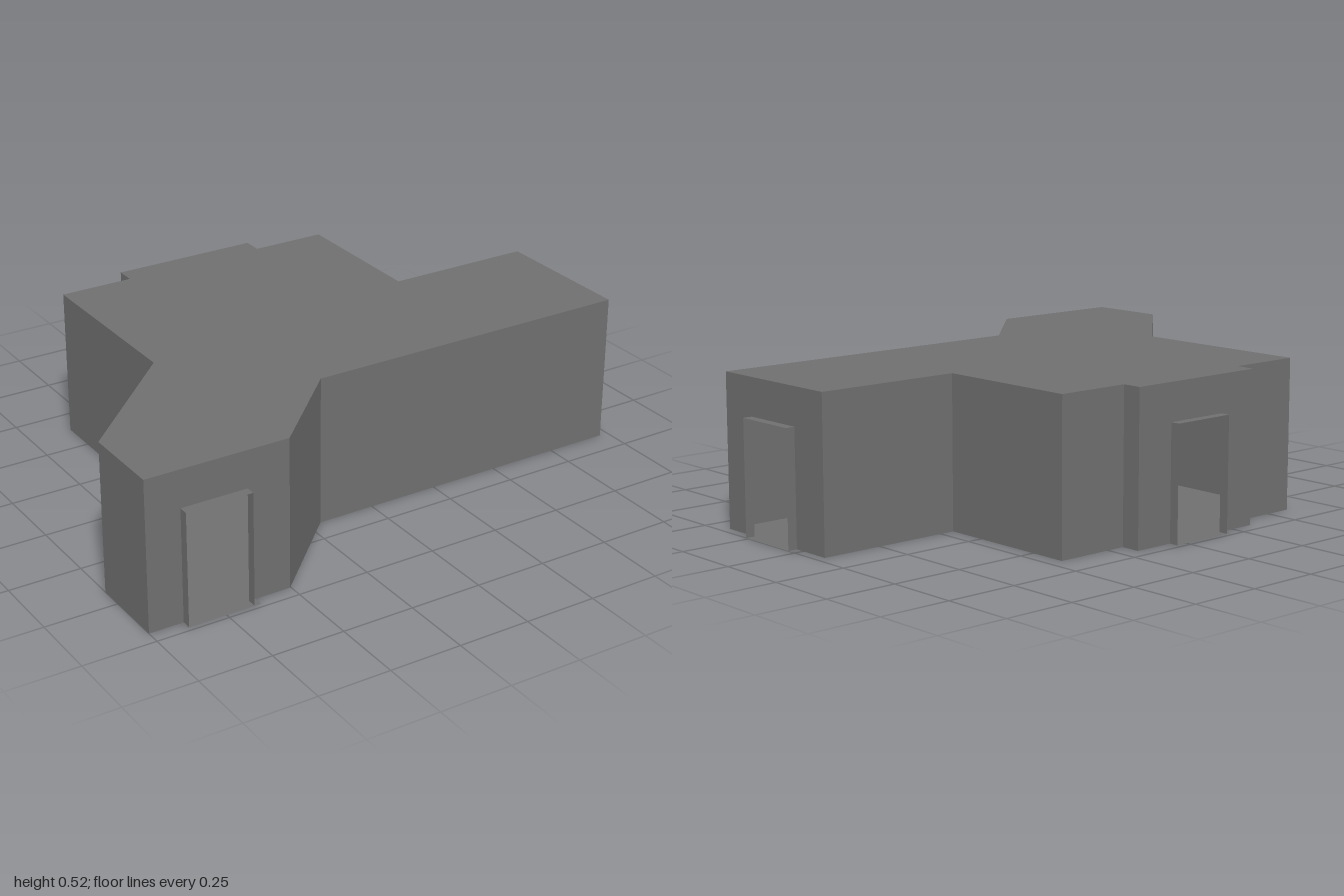
import * as THREE from 'three';

const HEIGHT = 0.522;
const DOOR_W = 0.23, DOOR_H = 0.393, SILL_W = 0.258, DEPTH = 0.033;

// Footprint corners [x, z, door centre, sill centre], both along the wall that starts here
const PLAN = [
  [-1, 0.7, 0.234, 0.243], [-0.503, 0.7], [-0.203, 0.404], [0.967, 0.404, 0.255, 0.263],
  [0.967, -0.112], [0.448, -0.112], [0.448, -0.632], [0.185, -0.632],
  [0.185, -0.7, 0.258, 0.26], [-0.335, -0.7], [-0.335, -0.632], [-0.594, -0.632],
  [-0.594, 0.018], [-1, 0.418],
];

export function createModel() {
  const group = new THREE.Group();
  const material = new THREE.MeshStandardMaterial({
    color: 0x707070, flatShading: true, side: THREE.DoubleSide,
  });

  function add(parent, name, geometry, x = 0, y = 0, z = 0) {
    const mesh = new THREE.Mesh(geometry, material);
    mesh.name = name;
    mesh.position.set(x, y, z);
    parent.add(mesh);
  }

  // Floor and roof from the same outline
  const outline = new THREE.Shape(PLAN.map(([x, z]) => new THREE.Vector2(x, -z)));
  add(group, 'roof', new THREE.ShapeGeometry(outline).rotateX(-Math.PI / 2), 0, HEIGHT, 0);
  const floor = new THREE.ShapeGeometry(
    new THREE.Shape(PLAN.map(([x, z]) => new THREE.Vector2(x, z))));
  add(group, 'floor', floor.rotateX(Math.PI / 2));

  // Projecting door surround of thin sheets, standing on a wider sill
  function addDoorFrame(wall, door, sill) {
    const frame = new THREE.Group();
    frame.name = 'doorFrame';
    frame.position.z = DEPTH / 2;
    wall.add(frame);
    for (const side of [-1, 1]) {
      const jamb = new THREE.PlaneGeometry(DEPTH, DOOR_H).rotateY(side * Math.PI / 2);
      add(frame, 'doorJamb', jamb, door + side * DOOR_W / 2, DOOR_H / 2, 0);
    }
    const lintel = new THREE.PlaneGeometry(DOOR_W, DEPTH).rotateX(-Math.PI / 2);
    add(frame, 'doorLintel', lintel, door, DOOR_H, 0);
    const plate = new THREE.PlaneGeometry(SILL_W, DEPTH).rotateX(-Math.PI / 2);
    add(frame, 'doorSill', plate, sill, 0, 0);
  }

  // One wall panel per outline edge, notched where there is a doorway
  PLAN.forEach(([x, z, door, sill], i) => {
    const [nx, nz] = PLAN[(i + 1) % PLAN.length];
    const length = Math.hypot(nx - x, nz - z);
    const wall = new THREE.Group();
    wall.name = door ? 'doorWall' : 'wall';
    wall.position.set(x, 0, z);
    wall.rotation.y = -Math.atan2(nz - z, nx - x);
    group.add(wall);

    const panel = new THREE.Shape();
    panel.moveTo(0, 0);
    if (door) {
      panel.lineTo(door - DOOR_W / 2, 0);
      panel.lineTo(door - DOOR_W / 2, DOOR_H);
      panel.lineTo(door + DOOR_W / 2, DOOR_H);
      panel.lineTo(door + DOOR_W / 2, 0);
      addDoorFrame(wall, door, sill);
    }
    panel.lineTo(length, 0);
    panel.lineTo(length, HEIGHT);
    panel.lineTo(0, HEIGHT);
    add(wall, 'wallPanel', new THREE.ShapeGeometry(panel));
  });

  return group;
}
